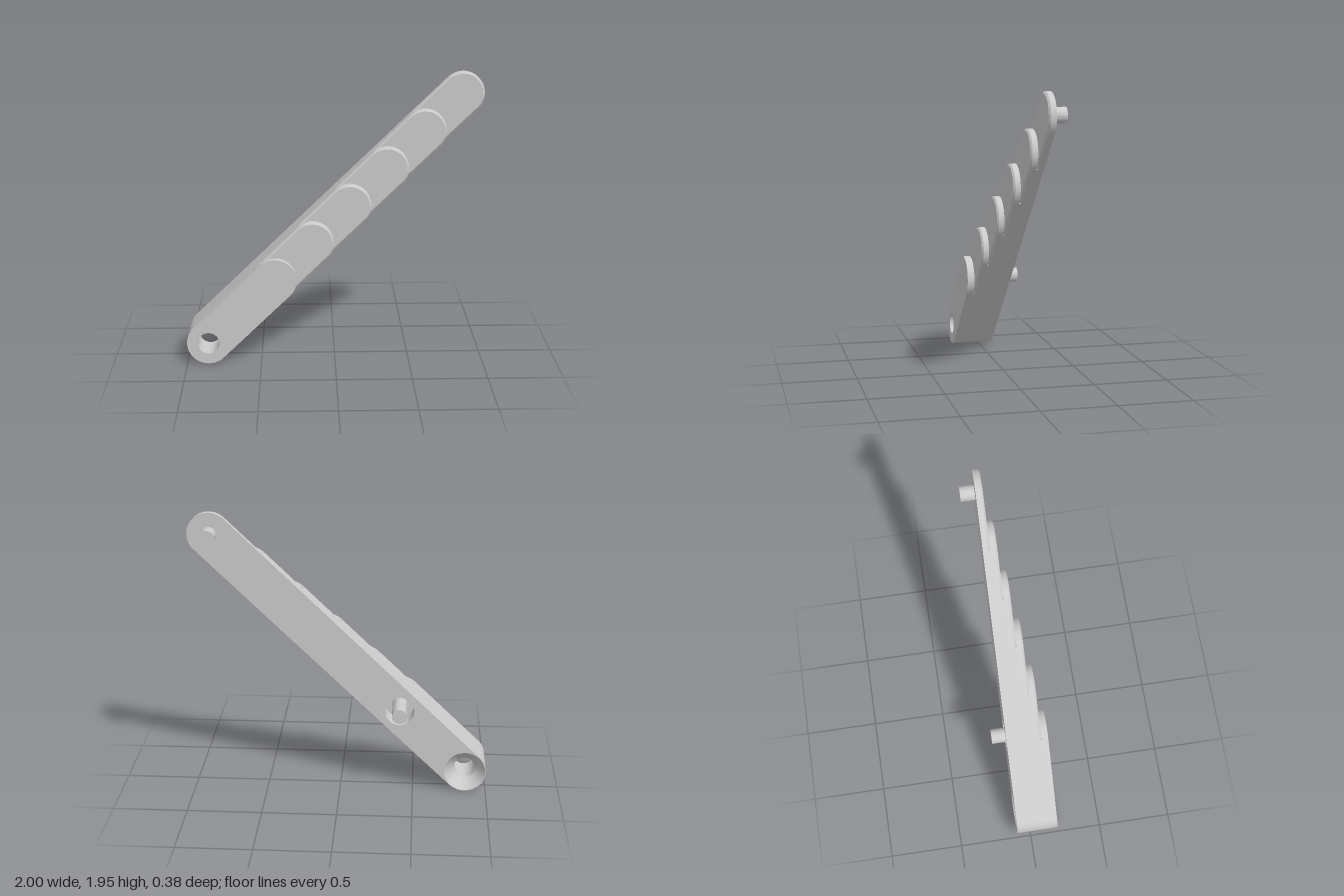
import * as THREE from 'three';
import { toCreasedNormals } from 'three/addons/utils/BufferGeometryUtils.js';

const R = 0.145;          // half width of the arm
const LENGTH = 2.38;      // distance between end centres
const FIRST = 0.629;      // centre of the frontmost rounded step
const LAYERS = 6;
const BACK = -0.095;
const THICK = 0.0475;     // thickness of one layer
const BEVEL = 0.012;
const HOLE = 0.073, SINK = 0.14, RECESS = 0.1;

// Outline along x; either end is rounded or square.
function strip(from, to, roundStart, roundEnd) {
  const s = new THREE.Shape();
  s.moveTo(from, -R);
  s.lineTo(to, -R);
  if (roundEnd) s.absarc(to, 0, R, -Math.PI / 2, Math.PI / 2, false);
  else s.lineTo(to, R);
  s.lineTo(from, R);
  if (roundStart) s.absarc(from, 0, R, Math.PI / 2, Math.PI * 1.5, false);
  return s;
}

function addHole(shape, x, r) {
  const p = new THREE.Path();
  p.absarc(x, 0, r, 0, Math.PI * 2, true);
  shape.holes.push(p);
}

function extrude(shape, z, depth) {
  const g = new THREE.ExtrudeGeometry(shape, { depth, bevelEnabled: false, curveSegments: 32 });
  return g.translate(0, 0, z);
}

export function createModel() {
  const model = new THREE.Group();
  model.name = 'steppedArm';
  const arm = new THREE.Group();
  arm.name = 'arm';
  arm.position.set(-0.855, R, 0);
  arm.rotation.z = Math.atan2(1.655, 1.71);
  model.add(arm);

  const material = new THREE.MeshStandardMaterial({ color: 0xcccccc });
  const inner = new THREE.MeshStandardMaterial({ color: 0xcccccc, side: THREE.DoubleSide });
  const add = (name, geometry, mat = material) => {
    const mesh = new THREE.Mesh(toCreasedNormals(geometry, 0.5), mat);
    mesh.name = name;
    arm.add(mesh);
  };

  // Stacked layers, each shorter than the one behind it
  const step = (LENGTH - FIRST) / (LAYERS - 1);
  for (let k = 0; k < LAYERS; k++) {
    const end = LENGTH - k * step;
    const z = BACK + k * THICK;
    const last = k === LAYERS - 1;
    const holeRadius = k < 2 ? SINK : HOLE;

    const slab = strip(0, end, true, true);
    addHole(slab, 0, holeRadius);
    if (k < 3) addHole(slab, FIRST, RECESS);
    add('layer' + (k + 1), extrude(slab, z, last ? THICK : THICK - BEVEL));
    if (last) continue;

    // Covered part keeps its full width up to the next step
    const zTop = z + THICK - BEVEL;
    const rear = strip(0, end - step, true, false);
    addHole(rear, 0, holeRadius);
    if (k < 3 && k < LAYERS - 2) addHole(rear, FIRST, RECESS);
    add('layerTop' + (k + 1), extrude(rear, zTop, BEVEL));

    // Exposed part is bevelled by shrinking its front outline
    const g = extrude(strip(end - step, end, false, true), zTop, BEVEL);
    const p = g.attributes.position;
    const f = (R - BEVEL) / R;
    for (let i = 0; i < p.count; i++) {
      if (p.getZ(i) < zTop + BEVEL / 2) continue;
      const x = p.getX(i);
      p.setXY(i, x > end ? end + (x - end) * f : x, p.getY(i) * f);
    }
    g.computeVertexNormals();
    add('bevelledStep' + (k + 1), g);
  }

  // Through hole with a countersink at the back
  const sink = [[SINK, BACK], [HOLE, BACK + 0.07], [HOLE, BACK + LAYERS * THICK]];
  const lathe = new THREE.LatheGeometry(sink.map(([x, y]) => new THREE.Vector2(x, y)), 64);
  add('countersunkHole', lathe.rotateX(Math.PI / 2), inner);

  // Pegs: one rises from the recess, one from the flat back
  const peg = (name, x, top) => {
    const h = top + 0.19;
    const g = new THREE.CylinderGeometry(0.05, 0.05, h, 40);
    add(name, g.rotateX(Math.PI / 2).translate(x, 0, top - h / 2));
  };
  peg('lowerPeg', FIRST, BACK + 3 * THICK);
  peg('upperPeg', LENGTH, BACK + 0.01);

  return model;
}
